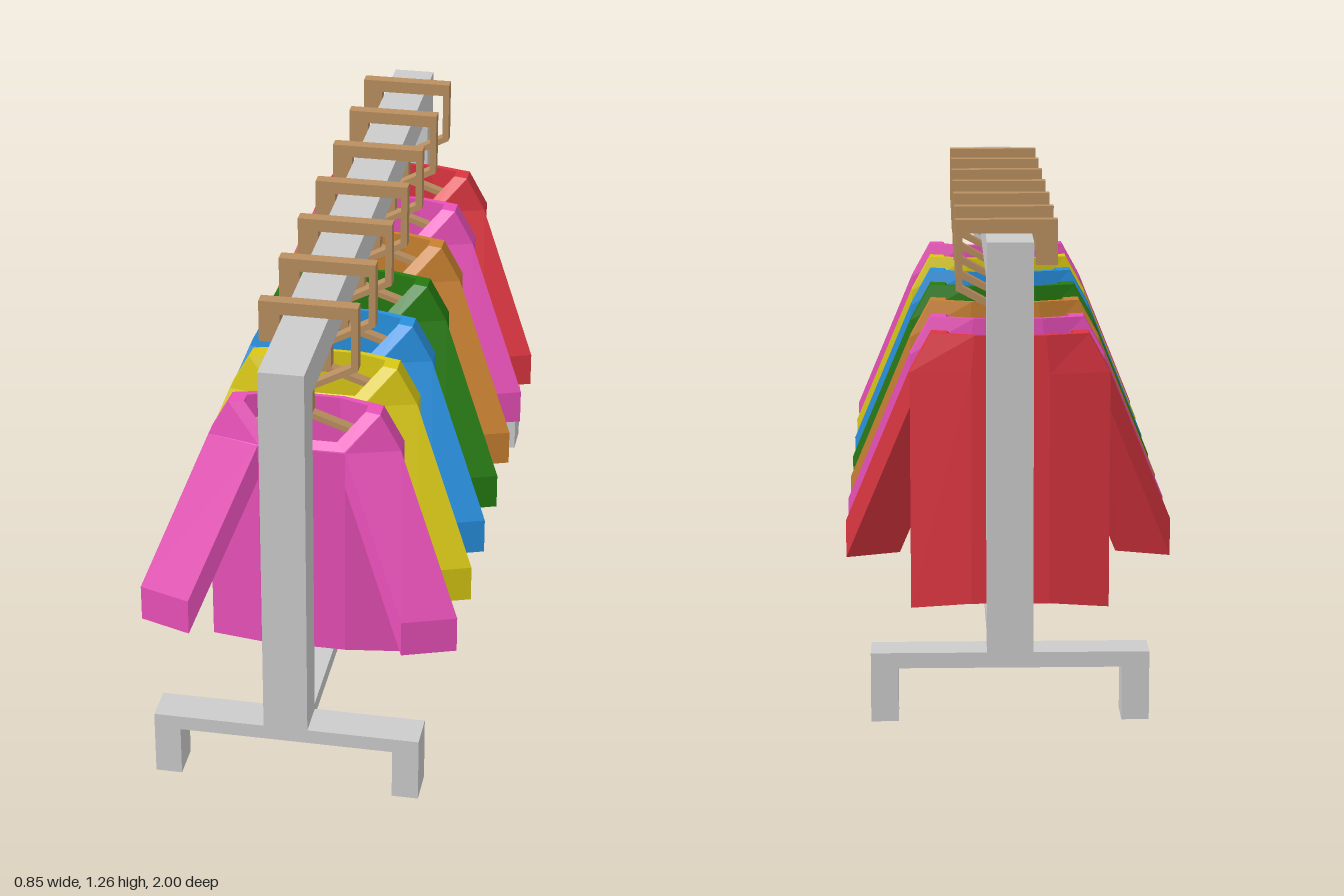
import * as THREE from 'three';

const mat = (color) => new THREE.MeshStandardMaterial({ color, flatShading: true });

function box(name, material, x0, x1, y0, y1, z0, z1) {
  const m = new THREE.Mesh(new THREE.BoxGeometry(x1 - x0, y1 - y0, z1 - z0), material);
  m.position.set((x0 + x1) / 2, (y0 + y1) / 2, (z0 + z1) / 2);
  m.name = name;
  return m;
}

// Flat-shaded skin over a series of equal-length rings, with optional end caps.
function loft(rings, capStart, capEnd) {
  const pos = [];
  const tri = (...pts) => pts.forEach((p) => pos.push(...p));
  const n = rings[0].length;
  const centre = (r) => [0, 1, 2].map((k) => r.reduce((s, p) => s + p[k], 0) / n);
  for (let r = 0; r < rings.length - 1; r++) {
    const a = rings[r], b = rings[r + 1];
    for (let i = 0; i < n; i++) {
      const j = (i + 1) % n;
      tri(a[i], a[j], b[j]);
      tri(a[i], b[j], b[i]);
    }
  }
  const first = rings[0], last = rings[rings.length - 1];
  for (let i = 0; i < n; i++) {
    const j = (i + 1) % n;
    if (capStart) tri(first[j], first[i], centre(first));
    if (capEnd) tri(last[i], last[j], centre(last));
  }
  const g = new THREE.BufferGeometry();
  g.setAttribute('position', new THREE.Float32BufferAttribute(pos, 3));
  g.computeVertexNormals();
  return g;
}

const mirror = (pts) => pts.map(([x, y, z]) => [-x, y, z]).reverse();

// Shirt body: half rings run front, side front, side back, back.
function bodyGeometry() {
  const halves = [
    [[0.115, 0.272, 0.077], [0.255, 0.257, 0.035], [0.255, 0.257, -0.018], [0.1, 0.275, -0.048]],
    [[0.115, 0.875, 0.077], [0.255, 0.875, 0.035], [0.255, 0.875, -0.018], [0.1, 0.875, -0.048]],
    [[0.113, 0.878, 0.076], [0.2, 0.975, 0.035], [0.2, 0.975, -0.018], [0.09, 0.975, -0.048]],
    // neck rim and the inside of the shirt
    [[0.09, 0.895, 0.055], [0.16, 0.975, 0.025], [0.16, 0.975, -0.01], [0.08, 0.975, -0.036]],
    [[0.1, 0.8, 0.062], [0.2, 0.8, 0.025], [0.2, 0.8, -0.01], [0.09, 0.8, -0.036]],
  ];
  return loft(halves.map((h) => [...h, ...mirror(h)]), true, true);
}

// Sleeve: a slanted bar growing from the front corner of the body.
function sleeveGeometry(left) {
  const section = (xo, zo, xi, zi, y) =>
    [[xo, y, zo], [xi, y, zi], [xi, y - 0.1, zi], [xo, y - 0.1, zo]];
  const rings = [section(0.255, 0.035, 0.115, 0.077, 0.875), section(0.425, 0.143, 0.285, 0.192, 0.45)];
  return loft(left ? rings : rings.map(mirror), true, true);
}

function extrude(points, depth) {
  const shape = new THREE.Shape(points.map(([x, y]) => new THREE.Vector2(x, y)));
  const g = new THREE.ExtrudeGeometry(shape, { depth, bevelEnabled: false });
  return g.translate(0, 0, -depth / 2);
}

// Hanger: square hook over the rail, slanted return and neck.
const hookOutline = [
  [-0.12, 1.15], [-0.065, 1.15], [-0.065, 1.23], [0.12, 1.23], [0.12, 1.095], [0.015, 1.037],
  [-0.018, 1.037], [-0.018, 0.94], [0.018, 0.94], [0.018, 1.022], [0.138, 1.085], [0.138, 1.265], [-0.12, 1.265],
];
const armOutline = [
  [0, 0.94], [-0.19, 0.875], [-0.19, 0.89], [0, 0.957], [0.19, 0.89], [0.19, 0.875],
];

export function createModel() {
  const model = new THREE.Group();
  model.name = 'clothesRack';
  const grey = mat(0xcccccc);
  const wood = mat(0xb98f60);

  // Rack frame
  const frame = new THREE.Group();
  frame.name = 'frame';
  frame.add(box('topRail', grey, -0.055, 0.062, 1.13, 1.23, -0.9, 0.9));
  frame.add(box('lowerRail', grey, -0.05, 0.057, 0.14, 0.18, -0.9, 0.9));
  for (const [side, z] of [['front', 0.9], ['back', -1]]) {
    frame.add(box(side + 'Post', grey, -0.055, 0.062, 0.18, 1.23, z, z + 0.1));
    frame.add(box(side + 'Crossbar', grey, -0.35, 0.357, 0.14, 0.18, z, z + 0.1));
    frame.add(box(side + 'RightFoot', grey, -0.35, -0.28, 0, 0.14, z, z + 0.1));
    frame.add(box(side + 'LeftFoot', grey, 0.287, 0.357, 0, 0.14, z, z + 0.1));
  }
  model.add(frame);

  // Row of shirts on hangers
  const parts = [
    ['hangerHook', extrude(hookOutline, 0.035), true],
    ['hangerArms', extrude(armOutline, 0.03), true],
    ['shirtBody', bodyGeometry(), false],
    ['leftSleeve', sleeveGeometry(true), false],
    ['rightSleeve', sleeveGeometry(false), false],
  ];
  const pink = mat(0xe850b8);
  const row = [
    ['pinkShirt', pink, 0.668], ['yellowShirt', mat(0xd8c714), 0.414], ['blueShirt', mat(0x2890de), 0.164],
    ['greenShirt', mat(0x267a12), -0.085], ['orangeShirt', mat(0xc88030), -0.34],
    ['secondPinkShirt', pink, -0.593], ['redShirt', mat(0xdc3540), -0.835],
  ];
  for (const [name, cloth, z] of row) {
    const shirt = new THREE.Group();
    shirt.name = name;
    for (const [part, geometry, isHanger] of parts) {
      const mesh = new THREE.Mesh(geometry, isHanger ? wood : cloth);
      mesh.name = part;
      shirt.add(mesh);
    }
    shirt.position.z = z;
    model.add(shirt);
  }
  return model;
}
